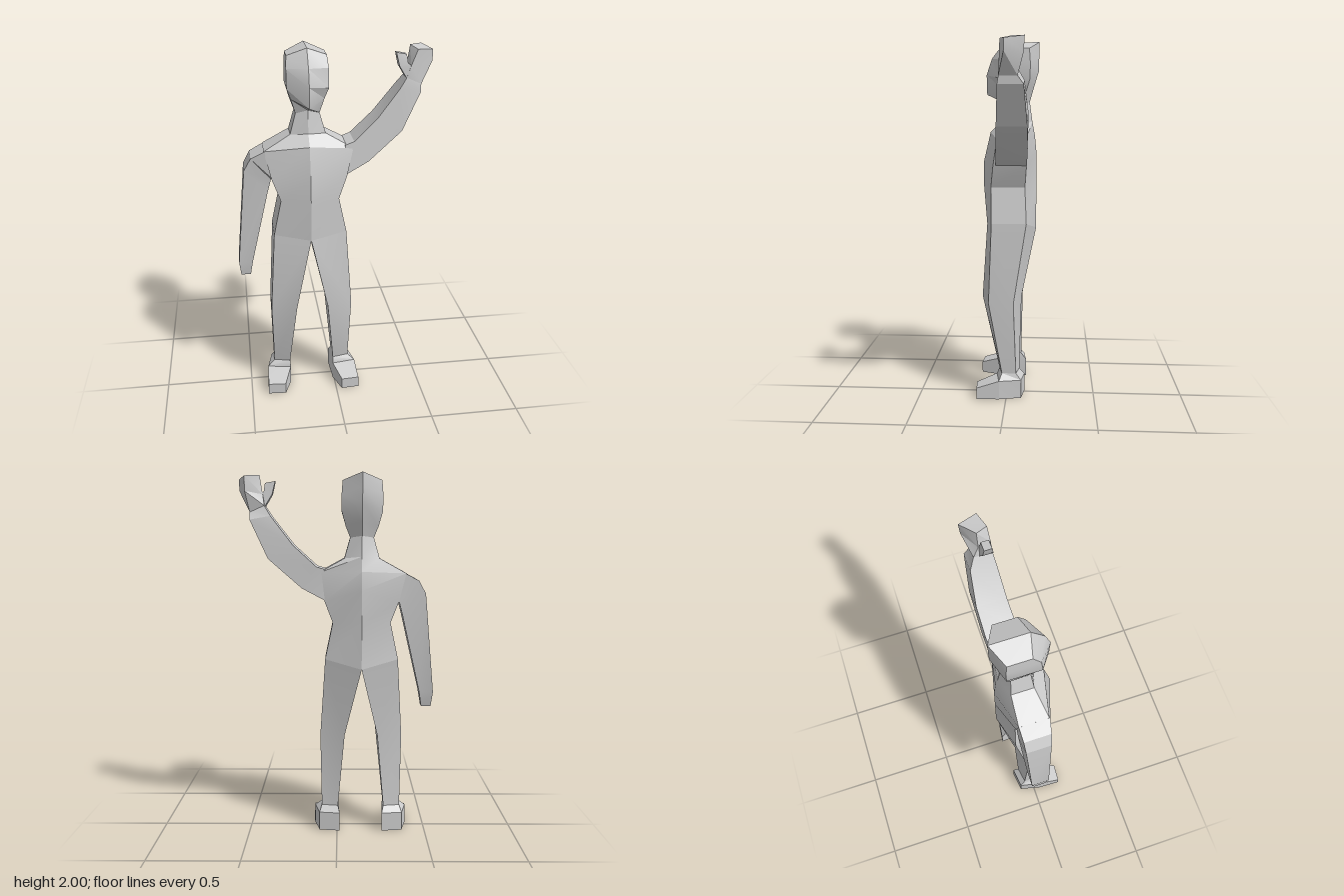
import * as THREE from 'three';
import { toCreasedNormals } from 'three/addons/utils/BufferGeometryUtils.js';

const CX = -0.135; // centre line of the body
const material = new THREE.MeshStandardMaterial({ color: 0xcccccc, side: THREE.DoubleSide });

// Skin a list of rings (equal numbers of [x, y, z] points), with optional end caps
function loft(name, rings, capStart = true, capEnd = true) {
  const n = rings[0].length;
  const pts = rings.flat().map((p) => new THREE.Vector3(...p));
  const faces = [];
  for (let r = 0; r < rings.length - 1; r++) {
    for (let i = 0; i < n; i++) {
      const a = r * n + i, b = r * n + ((i + 1) % n);
      faces.push([a, b, b + n], [a, b + n, a + n]);
    }
  }
  const last = (rings.length - 1) * n;
  for (let i = 1; i < n - 1; i++) {
    if (capStart) faces.push([0, i + 1, i]);
    if (capEnd) faces.push([last, last + i, last + i + 1]);
  }
  // Turn the faces outwards, whichever way the rings run
  const mid = pts.reduce((s, p) => s.add(p), new THREE.Vector3()).divideScalar(pts.length);
  const rel = pts.map((p) => p.clone().sub(mid));
  const volume = faces.reduce((s, [a, b, c]) => s + rel[a].dot(rel[b].clone().cross(rel[c])), 0);
  if (volume < 0) faces.forEach((f) => f.reverse());

  const geo = new THREE.BufferGeometry().setFromPoints(faces.flat().map((i) => pts[i]));
  const mesh = new THREE.Mesh(toCreasedNormals(geo, 0.4), material);
  mesh.name = name;
  return mesh;
}

// Symmetric six-point ring: front ridge, front corners, back corners, back ridge
const hexRing = ([w, yF, zF, yS, zS, yC, zC, yB, zB]) => [
  [CX, yF, zF], [CX + w, yS, zS], [CX + w, yC, zC],
  [CX, yB, zB], [CX - w, yC, zC], [CX - w, yS, zS],
];

// Four-point limb ring from its two edge points in x, y and its depth in z
const limbRing = ([x1, y1, x2, y2, zF, zB]) => [
  [x1, y1, zF], [x1, y1, zB], [x2, y2, zB], [x2, y2, zF],
];

export function createModel() {
  const group = new THREE.Group();

  // Head: ridge along the crown, pointed face and chin
  group.add(loft('head', [
    [0.105, 2.0, 0.025, 1.96, 0.0, 1.96, -0.12, 2.0, -0.172],
    [0.11, 1.91, 0.095, 1.9, 0.04, 1.89, -0.125, 1.92, -0.172],
    [0.11, 1.82, 0.125, 1.8, 0.05, 1.8, -0.125, 1.84, -0.17],
    [0.088, 1.71, 0.122, 1.74, 0.03, 1.72, -0.1, 1.74, -0.14],
    [0.064, 1.68, 0.03, 1.66, 0.01, 1.66, -0.09, 1.67, -0.12],
  ].map(hexRing)));

  // Torso from hips to neck, open where the legs and head join
  group.add(loft('torso', [
    [0.2, 0.97, 0.125, 1.0, 0.085, 1.0, -0.11, 0.95, -0.16],
    [0.158, 1.2, 0.143, 1.2, 0.09, 1.2, -0.1, 1.2, -0.16],
    [0.203, 1.33, 0.143, 1.32, 0.075, 1.32, -0.11, 1.38, -0.16],
    [0.24, 1.5, 0.103, 1.47, 0.05, 1.47, -0.108, 1.48, -0.15],
    [0.095, 1.555, 0.045, 1.55, 0.02, 1.55, -0.1, 1.56, -0.135],
    [0.064, 1.68, 0.03, 1.66, 0.01, 1.66, -0.09, 1.67, -0.12],
  ].map(hexRing), false, false));

  // Legs and feet: corners run inner front, outer front, outer back, inner back
  for (const [side, s] of [['left', 1], ['right', -1]]) {
    const place = (ring) => ring.map(([x, y, z]) => [CX + s * x, y, z]);
    group.add(loft(side + 'Leg', [
      [[0, 0.97, 0.125], [0.2, 1.0, 0.085], [0.2, 1.0, -0.11], [0, 0.95, -0.16]],
      [[0.088, 0.56, 0.145], [0.23, 0.55, 0.1], [0.23, 0.55, -0.04], [0.092, 0.56, -0.08]],
      [[0.13, 0.14, 0.045], [0.222, 0.14, 0.025], [0.222, 0.14, -0.055], [0.13, 0.14, -0.07]],
    ].map(place), false, true));
    group.add(loft(side + 'Heel', [
      [[0.13, 0.14, 0.045], [0.222, 0.14, 0.025], [0.222, 0.14, -0.055], [0.13, 0.14, -0.07]],
      [[0.128, 0.105, 0.06], [0.262, 0.105, 0.04], [0.235, 0.105, -0.085], [0.12, 0.105, -0.1]],
      [[0.128, 0, 0.06], [0.265, 0, 0.04], [0.235, 0, -0.085], [0.12, 0, -0.1]],
    ].map(place)));
    group.add(loft(side + 'Toe', [
      [[0.128, 0.105, 0.06], [0.262, 0.105, 0.04], [0.265, 0, 0.04], [0.128, 0, 0.06]],
      [[0.168, 0.065, 0.173], [0.268, 0.065, 0.166], [0.27, 0, 0.166], [0.168, 0, 0.173]],
    ].map(place)));
  }

  // Right arm, hanging down
  group.add(loft('rightArm', [
    [-0.37, 1.47, -0.335, 1.32, 0.055, -0.108],
    [-0.445, 1.43, -0.34, 1.31, 0.04, -0.106],
    [-0.483, 1.36, -0.358, 1.24, 0.03, -0.105],
    [-0.535, 0.81, -0.458, 0.81, 0.02, -0.08],
    [-0.526, 0.725, -0.472, 0.725, 0.005, -0.06],
  ].map(limbRing)));

  // Left arm, raised to wave
  group.add(loft('leftArm', [
    [0.06, 1.49, 0.06, 1.32, 0.06, -0.11],
    [0.11, 1.505, 0.19, 1.39, 0.05, -0.12],
    [0.235, 1.62, 0.37, 1.548, 0.035, -0.125],
    [0.355, 1.775, 0.467, 1.755, 0.022, -0.11],
    [0.39, 1.83, 0.468, 1.795, 0.015, -0.08],
  ].map(limbRing)));

  // Raised hand, turned a little inwards
  group.add(loft('leftHand', [
    [[0.39, 1.83, 0.015], [0.39, 1.83, -0.08], [0.468, 1.795, -0.08], [0.468, 1.795, 0.015]],
    [[0.41, 1.89, 0.015], [0.4, 1.89, -0.05], [0.49, 1.905, -0.11], [0.53, 1.91, -0.015]],
    [[0.445, 1.975, 0.01], [0.415, 1.99, -0.05], [0.49, 1.985, -0.115], [0.53, 1.97, -0.015]],
  ]));
  group.add(loft('leftThumb', [
    [0.39, 1.825, 0.43, 1.88, 0.015, -0.05],
    [0.35, 1.89, 0.395, 1.905, 0.01, -0.045],
    [0.333, 1.96, 0.388, 1.95, 0.0, -0.04],
  ].map(limbRing)));

  return group;
}
